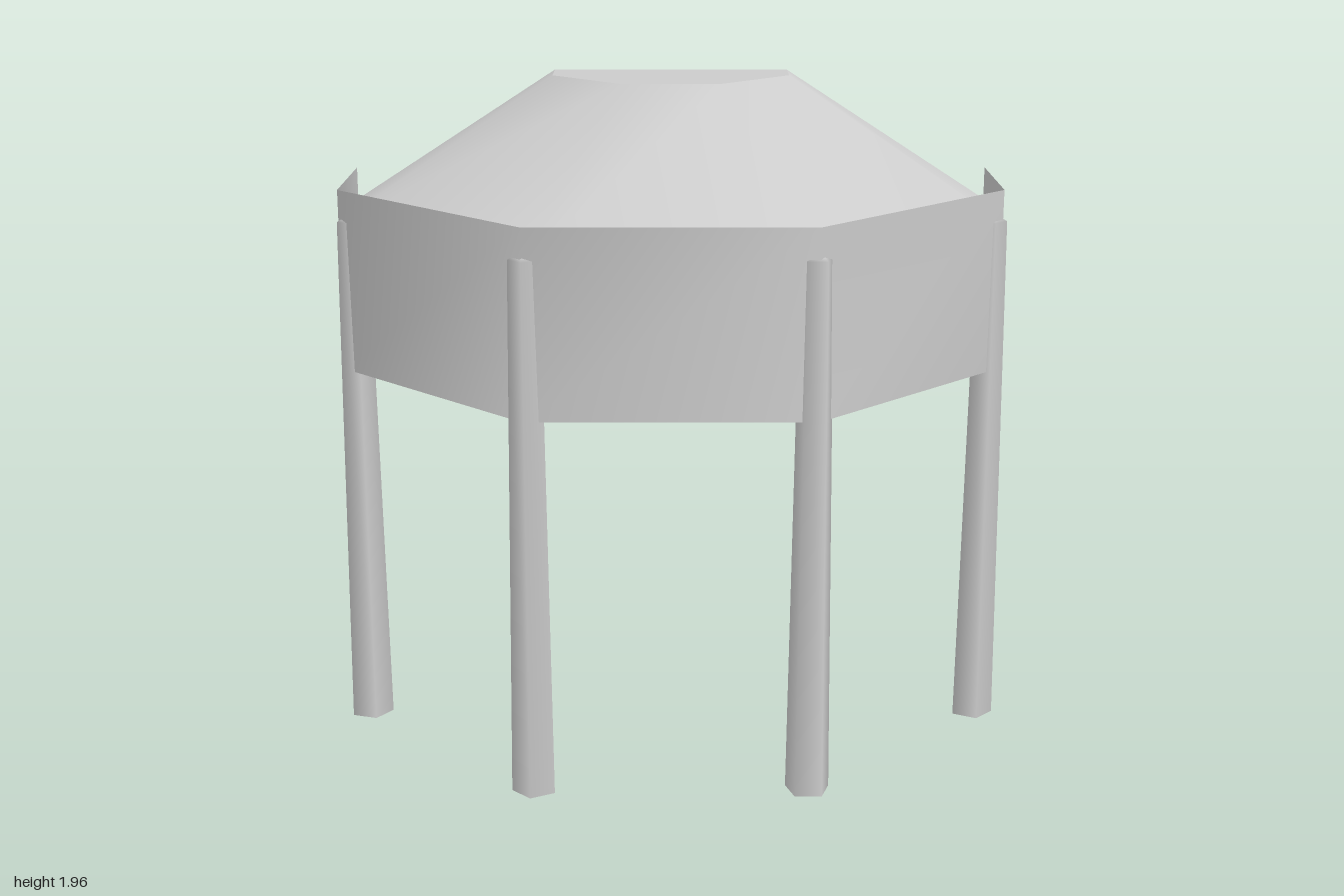
import * as THREE from 'three';

const CX = -0.005, CZ = -0.5; // centre of the half octagon, on the open back line

// Corners of half an octagon from +x round the front to -x, as [x, z]
function halfOctagon(apothem) {
  const h = apothem * Math.tan(Math.PI / 8);
  const right = [[apothem, 0], [apothem, h], [h, apothem]];
  const left = right.map(([x, z]) => [-x, z]).reverse();
  return [...right, ...left].map(([x, z]) => [CX + x, CZ + z]);
}

// Smooth wall between a lower and an upper half octagon
function wall(lowApothem, lowY, highApothem, highY) {
  const low = halfOctagon(lowApothem), high = halfOctagon(highApothem);
  const pos = [], index = [];
  low.forEach(([x, z], i) => {
    pos.push(x, lowY, z, high[i][0], highY, high[i][1]);
    if (i < low.length - 1) {
      const a = i * 2;
      index.push(a, a + 1, a + 2, a + 1, a + 3, a + 2);
    }
  });
  const g = new THREE.BufferGeometry();
  g.setAttribute('position', new THREE.Float32BufferAttribute(pos, 3));
  g.setIndex(index);
  g.computeVertexNormals();
  return g;
}

// Horizontal half-octagon sheet
function sheet(apothem, y) {
  const shape = new THREE.Shape(halfOctagon(apothem).map(([x, z]) => new THREE.Vector2(x, -z)));
  return new THREE.ShapeGeometry(shape).rotateX(-Math.PI / 2).translate(0, y, 0);
}

export function createModel() {
  const group = new THREE.Group();
  const material = new THREE.MeshStandardMaterial({ color: 0xcccccc, side: THREE.DoubleSide });
  const add = (name, geometry) => {
    const mesh = new THREE.Mesh(geometry, material);
    mesh.name = name;
    group.add(mesh);
    return mesh;
  };

  const outer = 0.975, inner = 0.355, eaveY = 1.555, topY = 1.955;

  // Upright band round the eaves, open at the back
  add('band', wall(outer, 1.112, outer, 1.653));

  // Sloping roof, flat top and ceiling
  add('roofSlope', wall(outer, eaveY, inner, topY));
  add('roofTop', sheet(inner, topY));
  add('ceiling', sheet(outer, eaveY));

  // Tapered five-sided posts with low pointed tips, open underneath
  const profile = [[0.066, 0], [0.047, 1.56], [0.022, 1.574], [0, 1.576]]
    .map(([r, y]) => new THREE.Vector2(r, y));
  const spots = [[0.936, -0.106], [0.389, 0.444], [-0.398, 0.444], [-0.944, -0.106]];
  spots.forEach(([x, z], i) => {
    const turn = THREE.MathUtils.degToRad(36 - 45 * (i - 1));
    const post = add('post' + (i + 1), new THREE.LatheGeometry(profile, 5, turn));
    post.position.set(x, 0, z);
  });

  return group;
}
